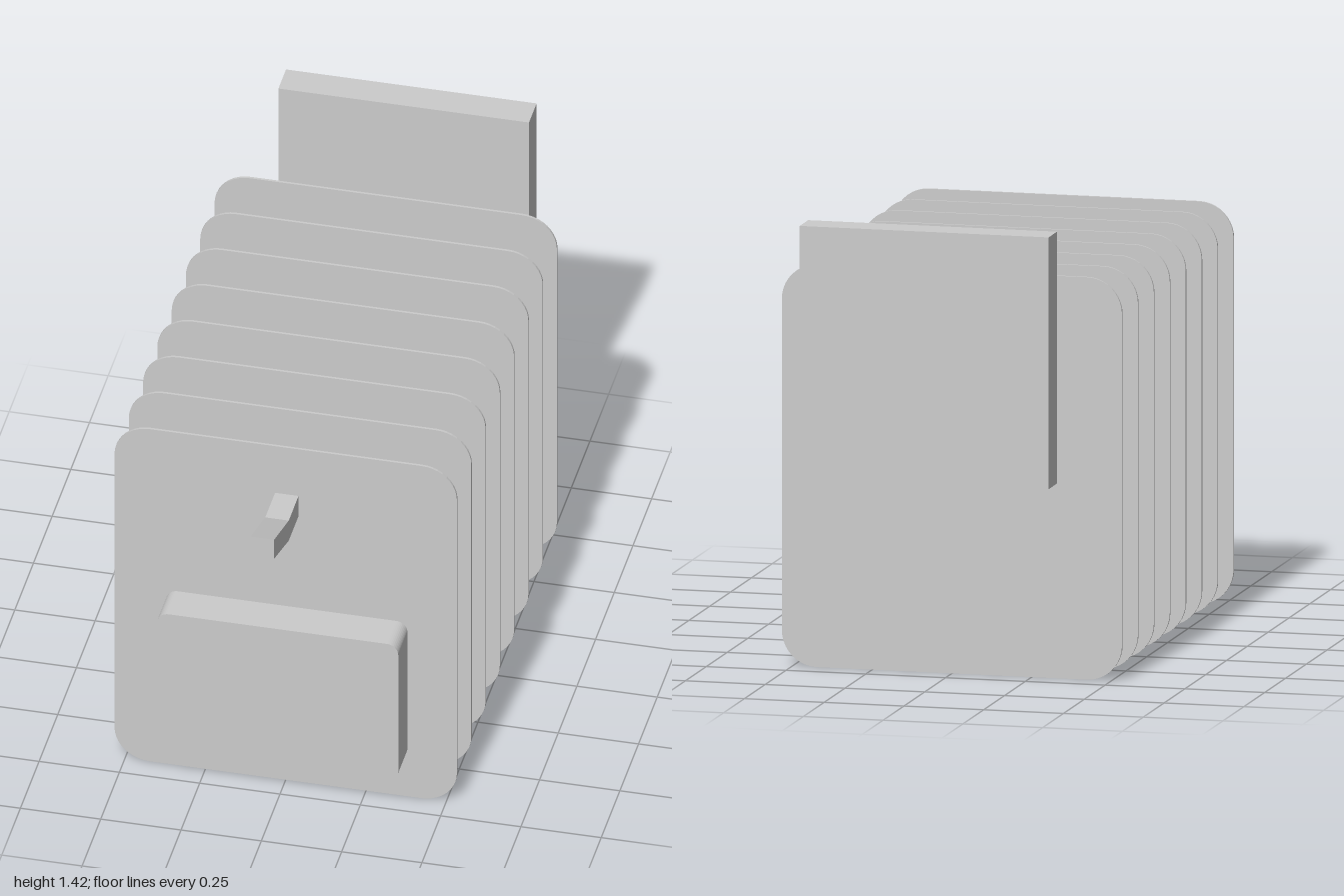
import * as THREE from 'three';

const material = new THREE.MeshStandardMaterial({ color: 0xcccccc, flatShading: true });

// Slab with rounded corners, extruded from z = 0 towards the front
function roundedSlab(x0, x1, y0, y1, r, depth, segments) {
  const s = new THREE.Shape();
  s.moveTo(x0 + r, y0);
  s.lineTo(x1 - r, y0);
  s.absarc(x1 - r, y0 + r, r, -Math.PI / 2, 0, false);
  s.lineTo(x1, y1 - r);
  s.absarc(x1 - r, y1 - r, r, 0, Math.PI / 2, false);
  s.lineTo(x0 + r, y1);
  s.absarc(x0 + r, y1 - r, r, Math.PI / 2, Math.PI, false);
  s.lineTo(x0, y0 + r);
  s.absarc(x0 + r, y0 + r, r, Math.PI, Math.PI * 1.5, false);
  return new THREE.ExtrudeGeometry(s, { depth, bevelEnabled: false, curveSegments: segments });
}

export function createModel() {
  const model = new THREE.Group();
  const add = (geometry, name, parent = model) => {
    const mesh = new THREE.Mesh(geometry, material);
    mesh.name = name;
    parent.add(mesh);
    return mesh;
  };

  // Row of hanging cards, each with a pack on its front
  const cardThickness = 0.008;
  const cardGeometry = roundedSlab(-0.533, 0.533, 0, 1.24, 0.11, cardThickness, 5);
  const packGeometry = roundedSlab(-0.372, 0.379, 0.143, 0.649, 0.036, 0.127, 5);
  const count = 8, spacing = 0.1913;
  for (let i = 0; i < count; i++) {
    const item = new THREE.Group();
    item.name = `hangingPack${i + 1}`;
    item.position.z = ((count - 1) / 2 - i) * spacing;
    add(cardGeometry, 'card', item).position.z = -cardThickness / 2;
    add(packGeometry, 'pack', item);
    model.add(item);
  }

  // Square rod with an upturned tip, drawn in side profile
  const profile = new THREE.Shape([
    [-0.9, 0.991], [0.805, 0.991], [1, 1.06], [1, 1.131], [0.805, 1.066], [-0.9, 1.066],
  ].map(([z, y]) => new THREE.Vector2(z, y)));
  const rodGeometry = new THREE.ExtrudeGeometry(profile, { depth: 0.073, bevelEnabled: false });
  rodGeometry.rotateY(-Math.PI / 2); // profile x becomes z
  add(rodGeometry, 'rod').position.x = 0.04;

  // Wall block carrying the rod
  add(new THREE.BoxGeometry(0.78, 0.776, 0.102), 'wallBlock').position.set(0.002, 1.03, -0.949);

  return model;
}
